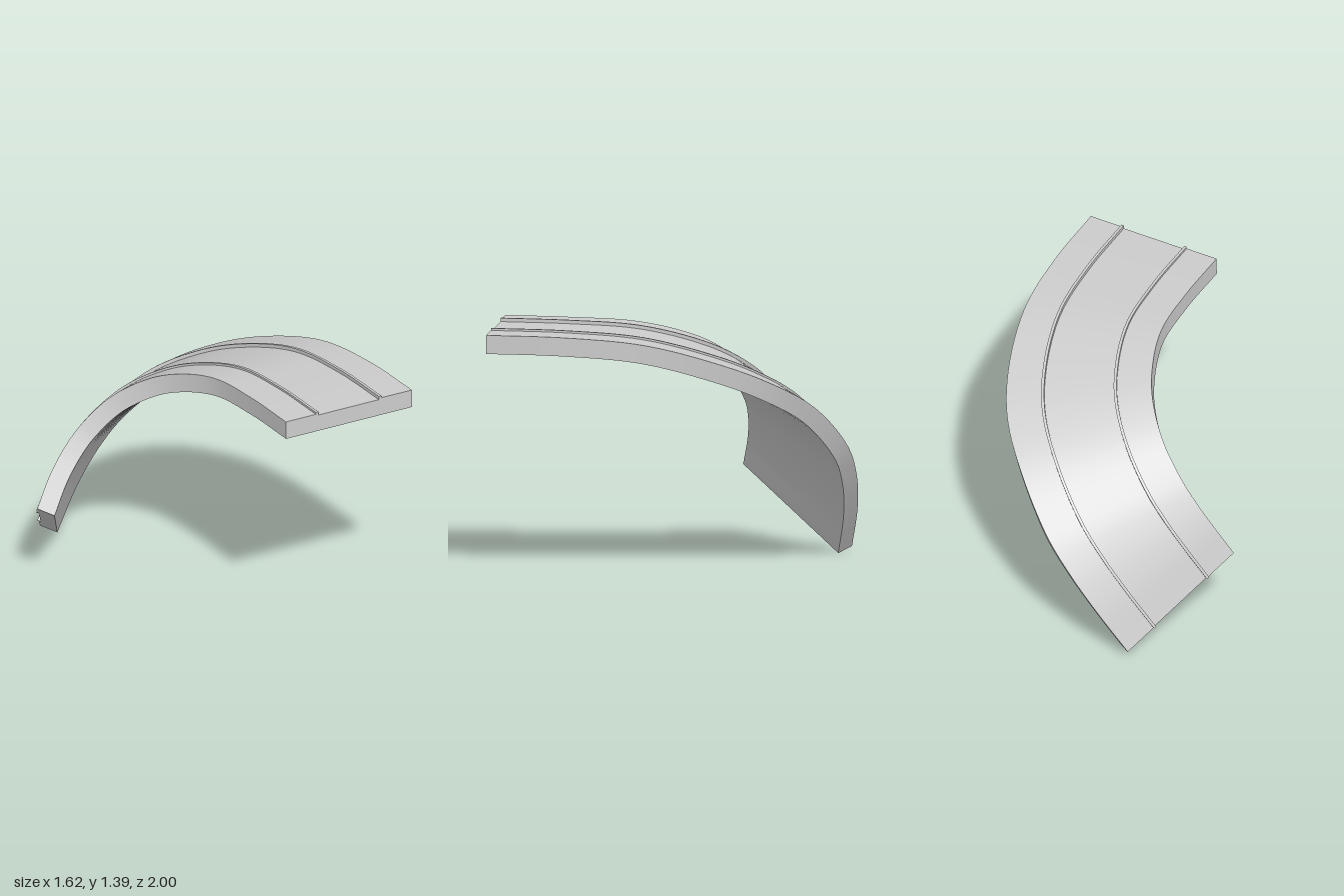
import * as THREE from 'three';

const STEPS = 72;
const curve = (pts) => new THREE.CatmullRomCurve3(pts.map((p) => new THREE.Vector3(...p)));

// Upper edges of the banked, descending bend; matching points lie across from each other
const inner = curve([
  [0, 1.363, 0.965], [0, 1.357, 0.6], [-0.026, 1.338, 0.25], [-0.102, 1.279, 0], [-0.194, 1.2, -0.175],
  [-0.345, 1.06, -0.335], [-0.5, 0.893, -0.408], [-0.6, 0.772, -0.42], [-0.703, 0.634, -0.407], [-0.81, 0.465, -0.37],
]);
const outer = curve([
  [0.81, 1.363, 0.995], [0.805, 1.353, 0.55], [0.765, 1.31, 0.11], [0.655, 1.195, -0.29], [0.515, 1.072, -0.57],
  [0.303, 0.908, -0.8], [0.06, 0.665, -0.96], [-0.1, 0.485, -0.997], [-0.27, 0.268, -0.988], [-0.44, 0.022, -0.94],
]);

// Cross-section frames along the bend
const frames = Array.from({ length: STEPS + 1 }, (_, i) => {
  const t = i / STEPS;
  const start = inner.getPoint(t);
  const across = outer.getPoint(t).sub(start);
  const along = inner.getTangent(t).add(outer.getTangent(t));
  const up = across.clone().cross(along).normalize();
  return { start, across, up };
});

// Sweeps a counter-clockwise profile of [fraction across, height] along the bend
function sweep(name, profile, material) {
  const pos = [], index = [];
  const put = (f, [u, v]) => {
    const p = f.start.clone().addScaledVector(f.across, u).addScaledVector(f.up, v);
    pos.push(p.x, p.y, p.z);
  };
  // Each side has its own vertices, so the long edges stay sharp
  profile.forEach((a, k) => {
    const c = profile[(k + 1) % profile.length];
    const base = pos.length / 3;
    frames.forEach((f) => { put(f, a); put(f, c); });
    for (let i = 0; i < STEPS; i++) {
      const q = base + i * 2;
      index.push(q, q + 2, q + 1, q + 1, q + 2, q + 3);
    }
  });
  // End caps
  const faces = THREE.ShapeUtils.triangulateShape(profile.map(([u, v]) => new THREE.Vector2(u, v)), []);
  [frames[0], frames[STEPS]].forEach((f, end) => {
    const base = pos.length / 3;
    profile.forEach((p) => put(f, p));
    faces.forEach(([a, b, c]) => index.push(base + a, base + (end ? c : b), base + (end ? b : c)));
  });
  const geo = new THREE.BufferGeometry();
  geo.setAttribute('position', new THREE.Float32BufferAttribute(pos, 3));
  geo.setIndex(index);
  geo.computeVertexNormals();
  const mesh = new THREE.Mesh(geo, material);
  mesh.name = name;
  return mesh;
}

export function createModel() {
  const group = new THREE.Group();
  group.name = 'curvedTrack';
  const material = new THREE.MeshStandardMaterial({ color: 0xcccccc });

  // Deck slab with a slightly sunken middle lane
  const deck = [
    [0, -0.105], [1, -0.105], [1, 0], [0.75, 0], [0.75, -0.008], [0.25, -0.008], [0.25, 0], [0, 0],
  ];
  group.add(sweep('deck', deck, material));

  // Two thin raised rails
  [['innerRail', 0.248], ['outerRail', 0.748]].forEach(([name, u]) => {
    const w = 0.01;
    group.add(sweep(name, [[u - w, -0.02], [u + w, -0.02], [u + w, 0.012], [u - w, 0.012]], material));
  });
  return group;
}
